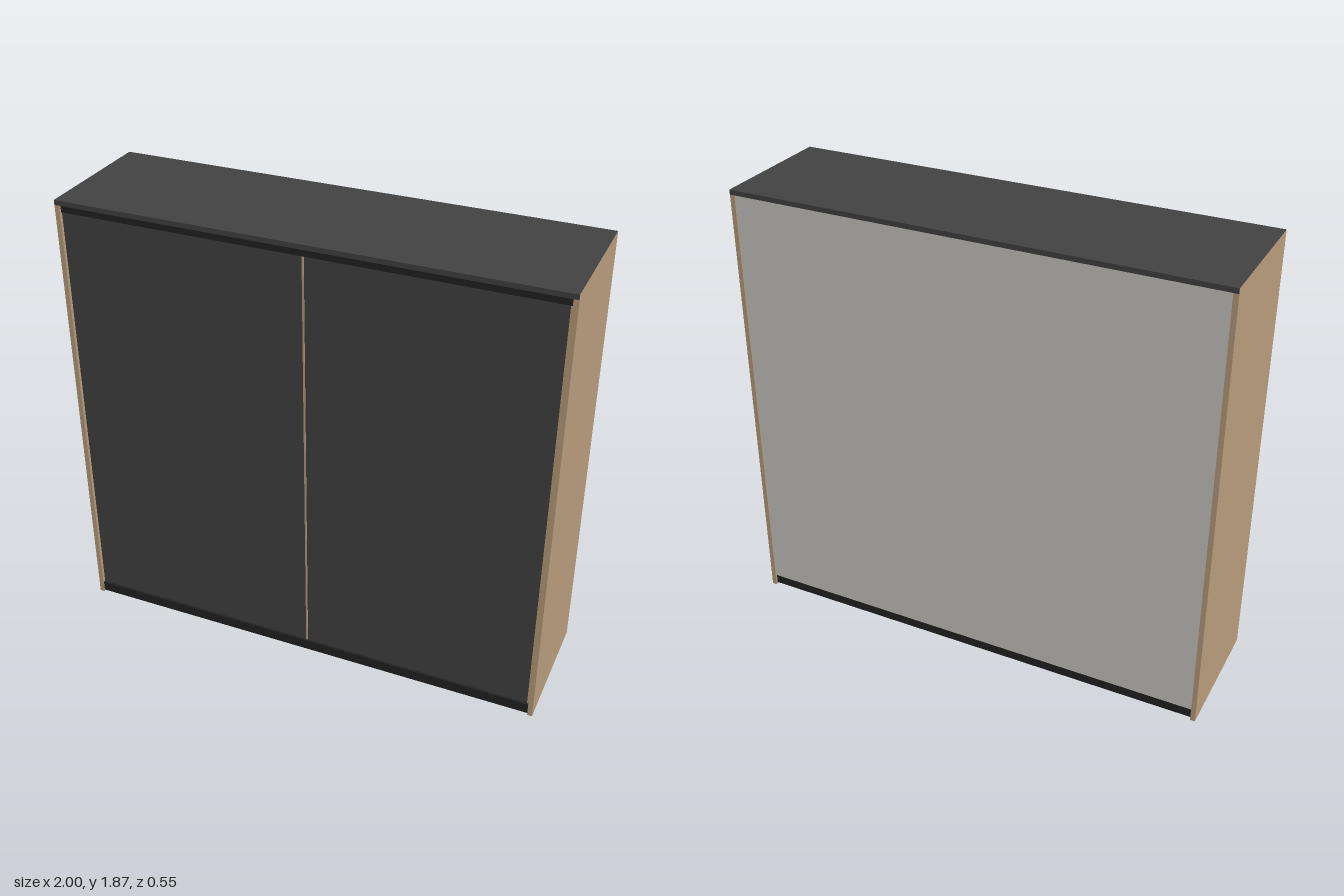
import * as THREE from 'three';

export function createModel() {
  const group = new THREE.Group();
  group.name = 'slidingWardrobe';
  const paint = (name, color) => {
    const m = new THREE.MeshStandardMaterial({ color });
    m.name = name;
    return m;
  };
  const wood = paint('oak', 0xb89d7c);
  const dark = paint('charcoal', 0x424242);
  const black = paint('black', 0x222222);
  const grey = paint('backGrey', 0xcac8c2);

  // Box given by its lower and upper limits on each axis
  const slab = (name, mat, [x0, x1], [y0, y1], [z0, z1]) => {
    const mesh = new THREE.Mesh(new THREE.BoxGeometry(x1 - x0, y1 - y0, z1 - z0), mat);
    mesh.position.set((x0 + x1) / 2, (y0 + y1) / 2, (z0 + z1) / 2);
    mesh.name = name;
    group.add(mesh);
  };

  // Carcass: side panels, top, base and back
  slab('rightSide', wood, [-1, -0.98], [0, 1.869], [-0.274, 0.274]);
  slab('leftSide', wood, [0.98, 1], [0, 1.869], [-0.274, 0.274]);
  slab('top', dark, [-0.9995, 0.9995], [1.85, 1.87], [-0.275, 0.275]);
  slab('base', black, [-0.98, 0.98], [0.006, 0.05], [-0.265, 0.27]);
  slab('backPanel', grey, [-0.98, 0.98], [0.05, 1.85], [-0.27, -0.262]);

  // Upper track for the doors
  slab('topTrack', black, [-0.98, 0.98], [1.82, 1.85], [0.18, 0.265]);

  // Sliding doors, each with a wooden grip strip on one edge
  [[-0.98, 0.008], [0.016, 0.972]].forEach(([x0, x1], i) => {
    const side = i ? 'left' : 'right';
    slab(side + 'Door', dark, [x0, x1], [0.05, 1.82], [0.235, 0.26]);
    slab(side + 'DoorGrip', wood, [x1, x1 + 0.008], [0.05, 1.82], [0.235, 0.262]);
  });
  return group;
}
